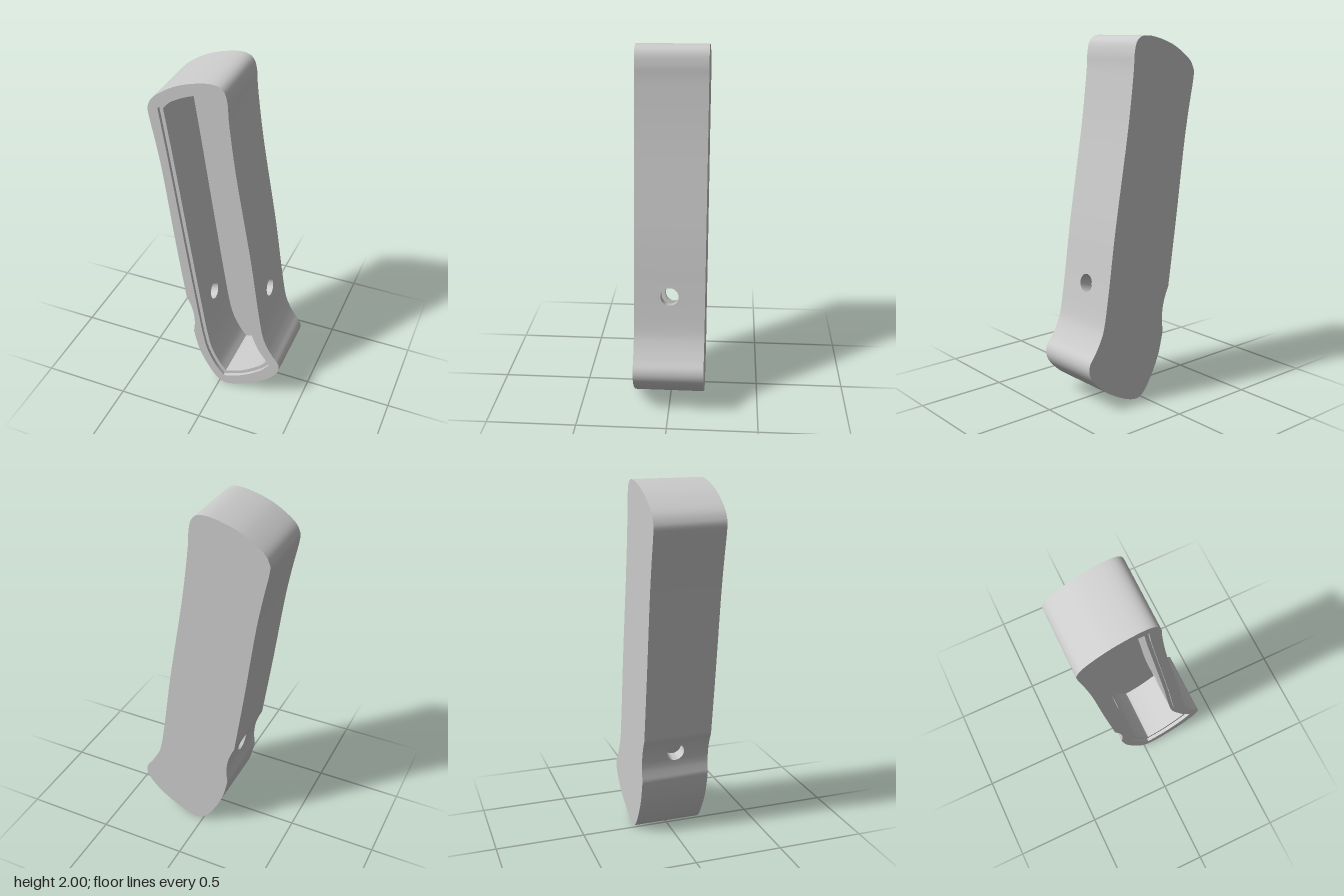
import * as THREE from 'three';
import { toCreasedNormals } from 'three/addons/utils/BufferGeometryUtils.js';

const FRONT = 0.195, LEDGE = 0.175, FLOOR = -0.155, BACK = -0.195;
const SAMPLES = 300, RADIUS = 0.05, STEPS = 32;

// Outlines run clockwise; each inner list is a smooth run, joined at sharp corners
const OUTER = [
  [[-0.2, 0.61], [-0.255, 1.0], [-0.307, 1.4], [-0.34, 1.6], [-0.373, 1.77], [-0.37, 1.825], [-0.33, 1.88],
    [-0.22, 1.95], [-0.1, 1.99], [-0.01, 2.0], [0.04, 1.975], [0.06, 1.91], [0.068, 1.8], [0.107, 1.5],
    [0.19, 1.0], [0.237, 0.67], [0.268, 0.48], [0.295, 0.4], [0.335, 0.33], [0.37, 0.28], [0.372, 0.225],
    [0.335, 0.165], [0.25, 0.09], [0.12, 0.02], [0.035, 0], [-0.02, 0.03], [-0.08, 0.12], [-0.13, 0.23], [-0.16, 0.355]],
  [[-0.16, 0.355], [-0.153, 0.43], [-0.16, 0.5], [-0.177, 0.56], [-0.2, 0.61]],
];
const RECESS = [
  [[-0.32, 1.81], [-0.26, 1.87], [-0.14, 1.925], [-0.005, 1.947]],
  [[-0.005, 1.947], [0.006, 1.85], [0.022, 1.73], [0.13, 1.0], [0.177, 0.65], [0.2, 0.5], [0.222, 0.42], [0.262, 0.33], [0.318, 0.255]],
  [[0.318, 0.255], [0.26, 0.185], [0.15, 0.105], [0.03, 0.055]],
  [[0.03, 0.055], [-0.02, 0.12], [-0.07, 0.22], [-0.1, 0.34], [-0.135, 0.56], [-0.2, 1.0], [-0.265, 1.45], [-0.295, 1.65], [-0.32, 1.81]],
];

// Screw holes: side of the body, height on the outer face and on the cavity face
const HOLES = [{ side: 1, outerY: 0.67, innerY: 0.645 }, { side: -1, outerY: 0.51, innerY: 0.53 }];

function outline(runs) {
  const path = new THREE.CurvePath();
  for (const run of runs) path.add(new THREE.SplineCurve(run.map(([x, y]) => new THREE.Vector2(x, y))));
  return path.getSpacedPoints(SAMPLES);
}

// Mitred inward offset of the control points
function inset(runs, d) {
  const pts = runs.flatMap(r => r.slice(0, -1));
  const n = pts.length;
  const moved = pts.map((p, i) => {
    const a = pts[(i + n - 1) % n], b = pts[(i + 1) % n];
    const u = new THREE.Vector2(p[0] - a[0], p[1] - a[1]).normalize();
    const v = new THREE.Vector2(b[0] - p[0], b[1] - p[1]).normalize();
    const k = d / (1 + u.dot(v));
    return [p[0] + (u.y + v.y) * k, p[1] - (u.x + v.x) * k];
  });
  let at = 0;
  return runs.map(r => {
    const out = r.map((_, j) => moved[(at + j) % n]);
    at += r.length - 1;
    return out;
  });
}

function pointAt(pts, s, z) {
  const i = Math.min(Math.floor(s), pts.length - 2);
  const p = pts[i].clone().lerp(pts[i + 1], s - i);
  return [p.x, p.y, z];
}

// Where a hole meets an outline, measured in samples along it
function locate(pts, side, y) {
  for (let i = 0; i < pts.length - 1; i++) {
    const a = pts[i], b = pts[i + 1];
    if (a.x * side > 0 && (a.y - y) * (b.y - y) <= 0 && a.y !== b.y) {
      const s = i + (y - a.y) / (b.y - a.y), r = RADIUS / Math.abs(b.y - a.y);
      return { s, r, from: Math.floor(s - r * 1.4), to: Math.ceil(s + r * 1.4) };
    }
  }
}

function surface(quads, flip) {
  const out = [];
  for (const [a, b, c, d] of quads) {
    out.push(...(flip ? [a, c, b, a, d, c] : [a, b, c, a, c, d]).flat());
  }
  const g = new THREE.BufferGeometry();
  g.setAttribute('position', new THREE.Float32BufferAttribute(out, 3));
  return toCreasedNormals(g, 0.45);
}

// Wall along an outline between two depths, with round openings
function wall(pts, z0, z1, openings, outward) {
  const quads = [];
  for (let i = 0; i < pts.length - 1; i++) {
    if (openings.some(o => i >= o.from && i < o.to)) continue;
    quads.push([pointAt(pts, i, z0), pointAt(pts, i + 1, z0), pointAt(pts, i + 1, z1), pointAt(pts, i, z1)]);
  }
  const rings = 5;
  for (const o of openings) {
    // blend from the circle to the surrounding rectangle
    const at = (ring, k) => {
      const a = k / STEPS * Math.PI * 2, c = Math.cos(a), s = Math.sin(a);
      const m = Math.max(Math.abs(c), Math.abs(s)), t = ring / rings;
      const es = (o.from + o.to) / 2 + c / m * (o.to - o.from) / 2;
      const ez = (z0 + z1) / 2 + s / m * (z1 - z0) / 2;
      return pointAt(pts, THREE.MathUtils.lerp(o.s + o.r * c, es, t), THREE.MathUtils.lerp(RADIUS * s, ez, t));
    };
    for (let r = 0; r < rings; r++) for (let k = 0; k < STEPS; k++) {
      quads.push([at(r, k), at(r + 1, k), at(r + 1, k + 1), at(r, k + 1)]);
    }
  }
  return surface(quads, outward);
}

// Bore joining the two openings of one hole
function bore(outer, a, inner, b) {
  const rim = (pts, o, k) => {
    const t = k / STEPS * Math.PI * 2;
    return pointAt(pts, o.s + o.r * Math.cos(t), RADIUS * Math.sin(t));
  };
  const quads = [];
  for (let k = 0; k < STEPS; k++) {
    quads.push([rim(outer, a, k), rim(outer, a, k + 1), rim(inner, b, k + 1), rim(inner, b, k)]);
  }
  return surface(quads, true);
}

// Flat face, optionally with an inner outline cut away
function face(pts, z, cut, backward) {
  const shape = new THREE.Shape(pts.slice(0, -1));
  if (cut) shape.holes.push(new THREE.Path(cut.slice(0, -1)));
  const g = new THREE.ShapeGeometry(shape);
  if (backward) {
    g.index.array.reverse();
    g.attributes.normal.array.forEach((v, i, arr) => { arr[i] = -v; });
  }
  return g.translate(0, 0, z);
}

export function createModel() {
  const group = new THREE.Group();
  const material = new THREE.MeshStandardMaterial({ color: 0xcccccc });
  const add = (name, geometry) => {
    const mesh = new THREE.Mesh(geometry, material);
    mesh.name = name;
    group.add(mesh);
  };

  const outer = outline(OUTER), recess = outline(RECESS), cavity = outline(inset(RECESS, 0.02));
  const outerHoles = HOLES.map(h => locate(outer, h.side, h.outerY));
  const innerHoles = HOLES.map(h => locate(cavity, h.side, h.innerY));

  // Outside of the shell
  add('outerWall', wall(outer, BACK, FRONT, outerHoles, true));
  add('backPanel', face(outer, BACK, null, true));
  add('frontRim', face(outer, FRONT, recess));

  // Stepped opening and hollow inside
  add('recessWall', wall(recess, LEDGE, FRONT, [], false));
  add('recessLedge', face(recess, LEDGE, cavity));
  add('cavityWall', wall(cavity, FLOOR, LEDGE, innerHoles, false));
  add('cavityFloor', face(cavity, FLOOR));

  // Screw holes through both side walls
  HOLES.forEach((h, i) => add(h.side > 0 ? 'leftScrewHole' : 'rightScrewHole',
    bore(outer, outerHoles[i], cavity, innerHoles[i])));
  return group;
}
